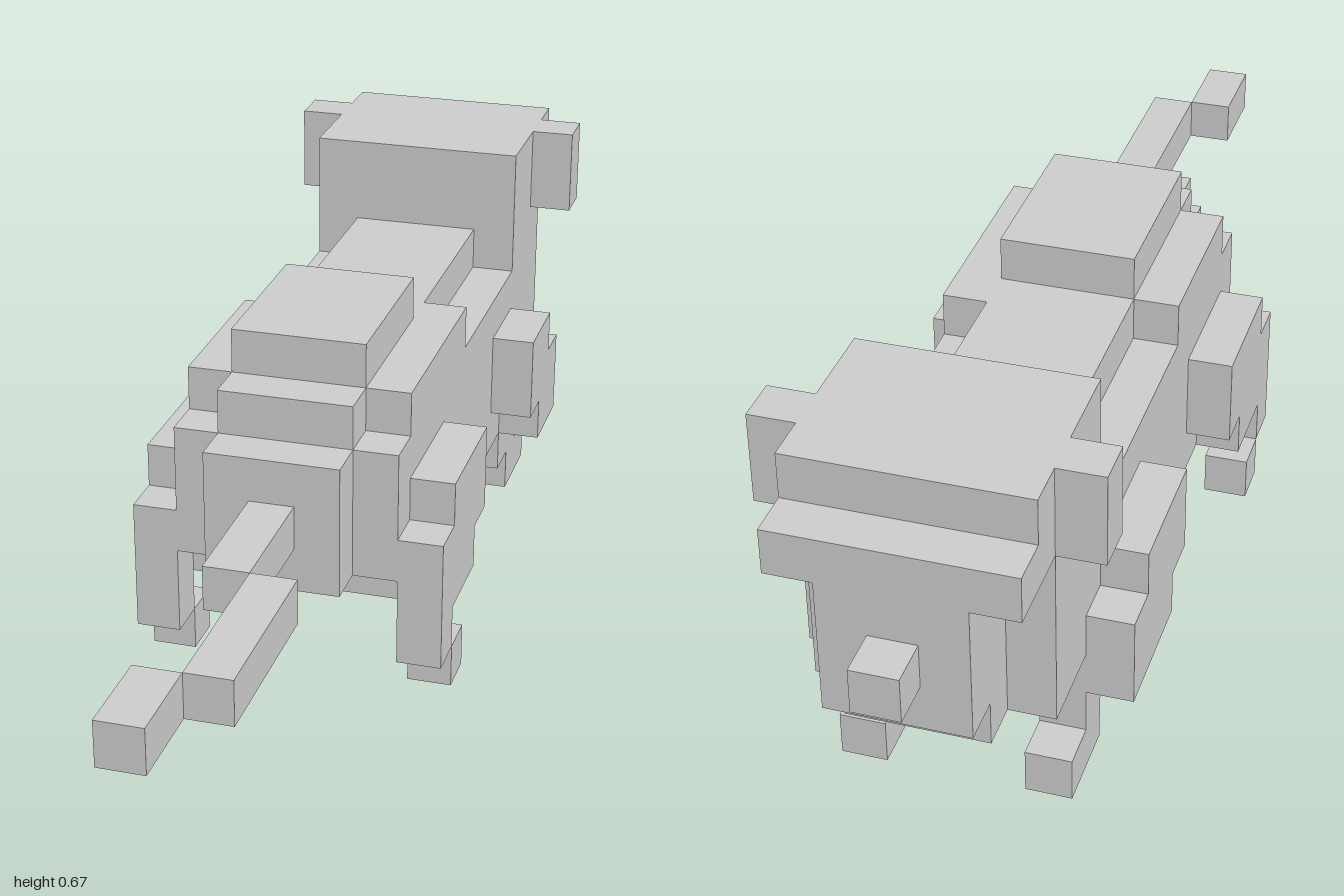
import * as THREE from 'three';

const U = 2 / 27; // one block
const material = new THREE.MeshStandardMaterial({ color: 0xcccccc, flatShading: true });

// Box between two corners, given in blocks
function block(parent, name, [x0, x1], [y0, y1], [z0, z1]) {
  const mesh = new THREE.Mesh(
    new THREE.BoxGeometry((x1 - x0) * U, (y1 - y0) * U, (z1 - z0) * U), material);
  mesh.position.set((x0 + x1) / 2 * U, (y0 + y1) / 2 * U, (z0 + z1) / 2 * U);
  mesh.name = name;
  parent.add(mesh);
}

// Span on one side of the body, s = 1 for +x, -1 for -x
const side = (s, a, b) => (s > 0 ? [a, b] : [-b, -a]);
const half = (w) => [-w, w];

function group(root, name) {
  const g = new THREE.Group();
  g.name = name;
  root.add(g);
  return g;
}

export function createModel() {
  const root = new THREE.Group();
  root.name = 'blockAnimal';

  // Torso with raised back and stepped rump
  const body = group(root, 'body');
  block(body, 'torso', half(2.5), [3, 6], [-7.5, 2.5]);
  block(body, 'belly', half(2.5), [2, 3], [-8.5, 2.5]);
  block(body, 'spine', half(1.5), [6, 7], [-7.5, 3.5]);
  block(body, 'hump', half(1.5), [7, 8], [-1.5, 2.5]);
  block(body, 'leftBackEdge', [1.5, 2.5], [6, 7], [-2.5, 2.5]);
  block(body, 'rightBackEdge', [-2.5, -1.5], [6, 7], [-1.5, 2.5]);
  block(body, 'hindquarters', half(2.5), [3, 6], [2.5, 3.5]);
  block(body, 'rump', half(1.5), [3, 6], [3.5, 4.5]);

  // Kinked tail
  const tail = group(root, 'tail');
  block(tail, 'tailBase', half(0.5), [4, 5], [4.5, 7.5]);
  block(tail, 'tailMiddle', [0.5, 1.5], [4, 5], [7.5, 11.5]);
  block(tail, 'tailTip', half(0.5), [4, 5], [11.5, 13.5]);

  // Head, face, brow and nose
  const head = group(root, 'head');
  block(head, 'skull', half(2.5), [3, 7], [-10.5, -7.5]);
  block(head, 'crown', half(2.5), [7, 9], [-11.5, -7.5]);
  block(head, 'brow', half(2.5), [7, 8], [-12.5, -11.5]);
  block(head, 'cheeks', half(1.5), [3, 7], [-11.5, -10.5]);
  block(head, 'muzzle', half(1.5), [4, 7], [-12.5, -11.5]);
  block(head, 'nose', half(0.5), [5, 6], [-13.5, -12.5]);

  for (const s of [1, -1]) {
    const label = s > 0 ? 'left' : 'right';
    const outer = side(s, 2.5, 3.5);
    const inner = side(s, 1.5, 2.5);
    block(head, label + 'Ear', outer, [7, 9], [-10.5, -9.5]);

    // Leg at the head end; the right shoulder is one block longer
    const reach = s > 0 ? 0 : 1;
    const foreLeg = group(root, label + 'ForeLeg');
    block(foreLeg, 'shoulderTop', outer, [4, 5], [-7.5, -5.5 + reach]);
    block(foreLeg, 'shoulder', outer, [3, 4], [-8.5, -5.5 + reach]);
    block(foreLeg, 'elbow', outer, [2, 3], [-8.5, -6.5 + reach]);
    block(foreLeg, 'shin', inner, [1, 2], [-8.5, -6.5]);
    block(foreLeg, 'paw', inner, [0, 1], [-9.5, -7.5]);

    // Leg at the tail end
    const hindLeg = group(root, label + 'HindLeg');
    block(hindLeg, 'thigh', outer, [3, 5], [-0.5, 2.5]);
    block(hindLeg, 'knee', outer, [2, 3], [0.5, 2.5]);
    block(hindLeg, 'shin', outer, [1, 4], [2.5, 3.5]);
    block(hindLeg, 'paw', outer, [0, 1], [1.5, 2.5]);
  }
  return root;
}
